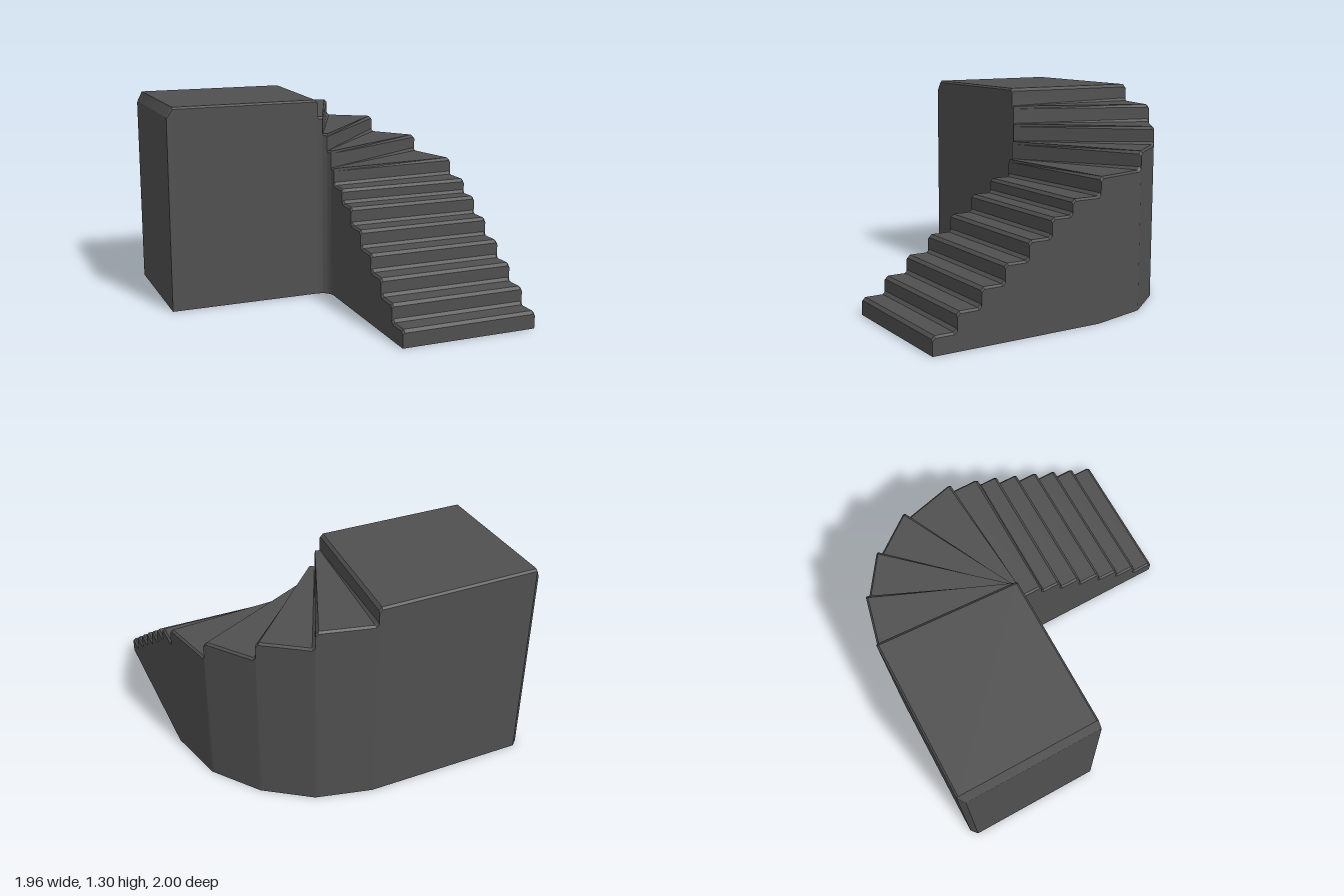
import * as THREE from 'three';
import { toCreasedNormals } from 'three/addons/utils/BufferGeometryUtils.js';

const BEVEL = 0.018;

// Riser lines: [inner x, inner z, outer x, outer z, tread height behind it]
const risers = [];
[1, 0.85, 0.7, 0.55, 0.395, 0.245, 0.105].forEach((z, i) =>
  risers.push([0.09, z, 0.975, z, [0.11, 0.22, 0.33, 0.44, 0.55, 0.66, 0.75][i]]));
risers.push(
  [0.09, -0.035, 0.975, -0.09, 0.86],
  [0.082, -0.065, 0.885, -0.455, 0.97],
  [0.065, -0.088, 0.675, -0.73, 1.08],
  [0.04, -0.104, 0.4, -0.92, 1.19],
  [0.01, -0.11, 0.06, -1, 1.3],
);
const landingEdge = [-0.94, -0.11, -0.94, -1, 1.3];
const landingEnd = [-0.98, -0.11, -0.98, -0.965, 1.24];

// Six-point cross-section with softened top corners
function section([ix, iz, ox, oz], h) {
  const c = 0.012, k = c / Math.hypot(ox - ix, oz - iz);
  const dx = (ox - ix) * k, dz = (oz - iz) * k;
  return [
    [ix, 0, iz], [ix, h - c, iz], [ix + dx, h, iz + dz],
    [ox - dx, h, oz - dz], [ox, h - c, oz], [ox, 0, oz],
  ];
}

// Shift a riser line a short way towards another one
function shift(a, b) {
  const t = BEVEL / Math.hypot(b[2] - a[2], b[3] - a[3]);
  return a.map((v, i) => v + (b[i] - v) * t);
}

function loft(sections) {
  const pos = [];
  const tri = (a, b, c) => pos.push(...a, ...b, ...c);
  for (let i = 0; i < sections.length - 1; i++) {
    const s = sections[i], n = sections[i + 1];
    for (let j = 0; j < 6; j++) {
      const k = (j + 1) % 6;
      tri(s[j], s[k], n[k]);
      tri(s[j], n[k], n[j]);
    }
  }
  const first = sections[0], last = sections[sections.length - 1];
  for (let j = 1; j < 5; j++) {
    tri(first[0], first[j + 1], first[j]);
    tri(last[0], last[j], last[j + 1]);
  }
  const g = new THREE.BufferGeometry();
  g.setAttribute('position', new THREE.Float32BufferAttribute(pos, 3));
  return toCreasedNormals(g, 0.5);
}

export function createModel() {
  const stone = new THREE.MeshStandardMaterial({ color: 0x505050 });
  stone.name = 'darkGrey';

  // Each step: sloped foot, upright riser, bevelled nosing
  const sections = [];
  risers.forEach((r, i) => {
    const next = risers[i + 1] || landingEdge;
    if (i > 0) {
      const low = risers[i - 1][4];
      sections.push(section(shift(r, risers[i - 1]), low), section(r, low + BEVEL));
    }
    sections.push(section(r, r[4] - BEVEL), section(shift(r, next), r[4]));
  });
  // Landing with a chamfered far edge
  sections.push(section(landingEdge, landingEdge[4]), section(landingEnd, landingEnd[4]));

  const stairs = new THREE.Mesh(loft(sections), stone);
  stairs.name = 'windingStaircase';
  const group = new THREE.Group();
  group.name = 'staircase';
  group.add(stairs);
  return group;
}
